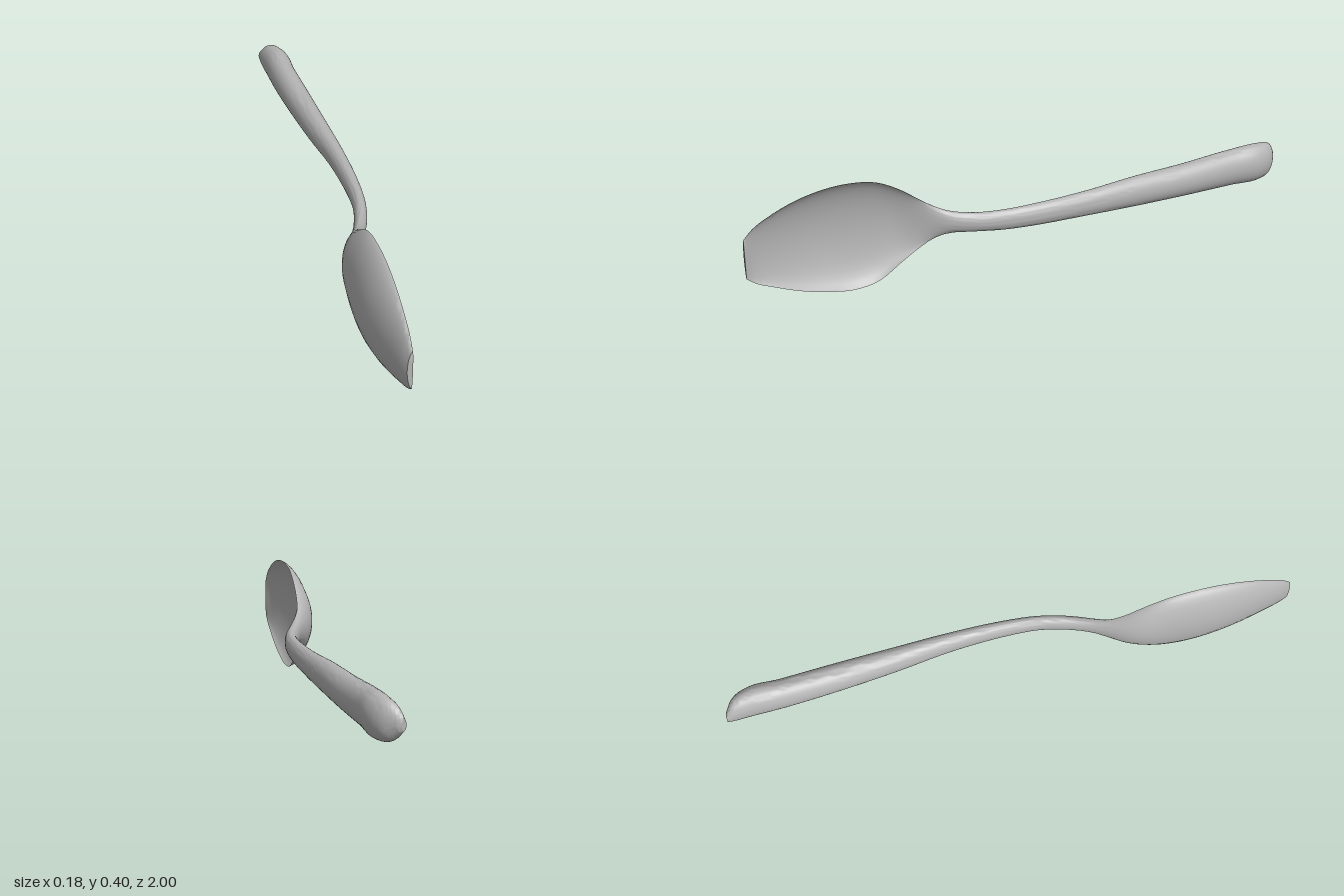
import * as THREE from 'three';
import { toCreasedNormals } from 'three/addons/utils/BufferGeometryUtils.js';

// Cross-sections along z: [z, bottom y, top y, back x, edge x, front x].
// A front x behind the edge x makes the section hollow.
const STATIONS = [
  [-1.0, 0.19, 0.235, -0.08, -0.066, -0.05],
  [-0.975, 0.16, 0.268, -0.078, -0.045, -0.012],
  [-0.92, 0.145, 0.284, -0.073, -0.026, 0.02],
  [-0.8, 0.145, 0.28, -0.065, -0.018, 0.03],
  [-0.6, 0.148, 0.268, -0.043, 0.004, 0.05],
  [-0.4, 0.152, 0.263, -0.015, 0.025, 0.065],
  [-0.2, 0.161, 0.253, 0.018, 0.049, 0.08],
  [0.0, 0.165, 0.245, 0.035, 0.06, 0.086],
  [0.12, 0.168, 0.241, 0.033, 0.056, 0.079],
  [0.22, 0.17, 0.24, 0.012, 0.035, 0.058],
  [0.3, 0.165, 0.25, -0.016, 0.007, 0.028],
  [0.35, 0.145, 0.272, -0.042, -0.008, 0.002],
  [0.4, 0.113, 0.305, -0.068, -0.014, -0.026],
  [0.46, 0.072, 0.348, -0.086, -0.014, -0.054],
  [0.54, 0.018, 0.388, -0.09, -0.012, -0.067],
  [0.63, 0.002, 0.402, -0.09, -0.008, -0.069],
  [0.72, 0.014, 0.398, -0.084, -0.004, -0.064],
  [0.82, 0.04, 0.375, -0.067, -0.001, -0.048],
  [0.91, 0.075, 0.337, -0.044, 0.001, -0.027],
  [0.97, 0.102, 0.3, -0.026, 0.002, -0.01],
  [1.0, 0.125, 0.268, -0.014, 0.002, 0.004],
];
const RINGS = 110, SIDES = 36, NECK_Z = 0.33;

// Closed loft through the smoothly interpolated sections
function loft() {
  const sections = new THREE.CubicInterpolant(
    STATIONS.map(s => s[0]), STATIONS.flatMap(s => s.slice(1)), 5);
  const pos = [], index = [];
  let neckRing = 0;
  for (let j = 0; j <= RINGS; j++) {
    const z = -Math.cos(Math.PI * j / RINGS);
    if (z < NECK_Z) neckRing = j;
    const [lo, hi, back, edge, front] = sections.evaluate(z);
    const power = 1 + 0.25 * THREE.MathUtils.smoothstep(z, 0.3, 0.5);
    for (let i = 0; i < SIDES; i++) {
      const a = 2 * Math.PI * (i + 0.5) / SIDES;
      const s = Math.sin(a);
      const y = (lo + hi) / 2 + (hi - lo) / 2 * Math.cos(a) / Math.cos(Math.PI / SIDES);
      const x = edge + ((s > 0 ? front : back) - edge) * Math.abs(s) ** power;
      pos.push(x, y, z);
    }
  }
  const last = RINGS * SIDES, tip = (RINGS + 1) * SIDES;
  const e = STATIONS.at(-1), b = STATIONS[0];
  for (const s of [b, e]) pos.push((s[3] + s[5]) / 2, (s[1] + s[2]) / 2, s[0]);

  // end cap, walls, tip cap
  for (let i = 0; i < SIDES; i++) index.push(tip, i, (i + 1) % SIDES);
  for (let j = 0; j < RINGS; j++) {
    for (let i = 0; i < SIDES; i++) {
      const k = (i + 1) % SIDES, p = j * SIDES, q = p + SIDES;
      index.push(p + i, q + i, p + k, p + k, q + i, q + k);
    }
  }
  for (let i = 0; i < SIDES; i++) index.push(tip + 1, last + (i + 1) % SIDES, last + i);

  const geo = new THREE.BufferGeometry();
  geo.setAttribute('position', new THREE.Float32BufferAttribute(pos, 3));
  geo.setIndex(index);
  return { geo: toCreasedNormals(geo, 0.9), split: SIDES * 3 + neckRing * SIDES * 6 };
}

export function createModel() {
  const group = new THREE.Group();
  group.name = 'spoon';
  const metal = new THREE.MeshStandardMaterial({ color: 0xb4b4b4 });
  metal.name = 'grey metal';
  const { geo, split } = loft();

  // Cut the loft at the neck so both parts share continuous normals
  const addPart = (name, from, to) => {
    const part = new THREE.BufferGeometry();
    for (const key of ['position', 'normal']) {
      part.setAttribute(key, new THREE.BufferAttribute(
        geo.attributes[key].array.slice(from * 3, to * 3), 3));
    }
    const mesh = new THREE.Mesh(part, metal);
    mesh.name = name;
    group.add(mesh);
  };
  addPart('handle', 0, split);
  addPart('bowl', split, geo.attributes.position.count);
  return group;
}
